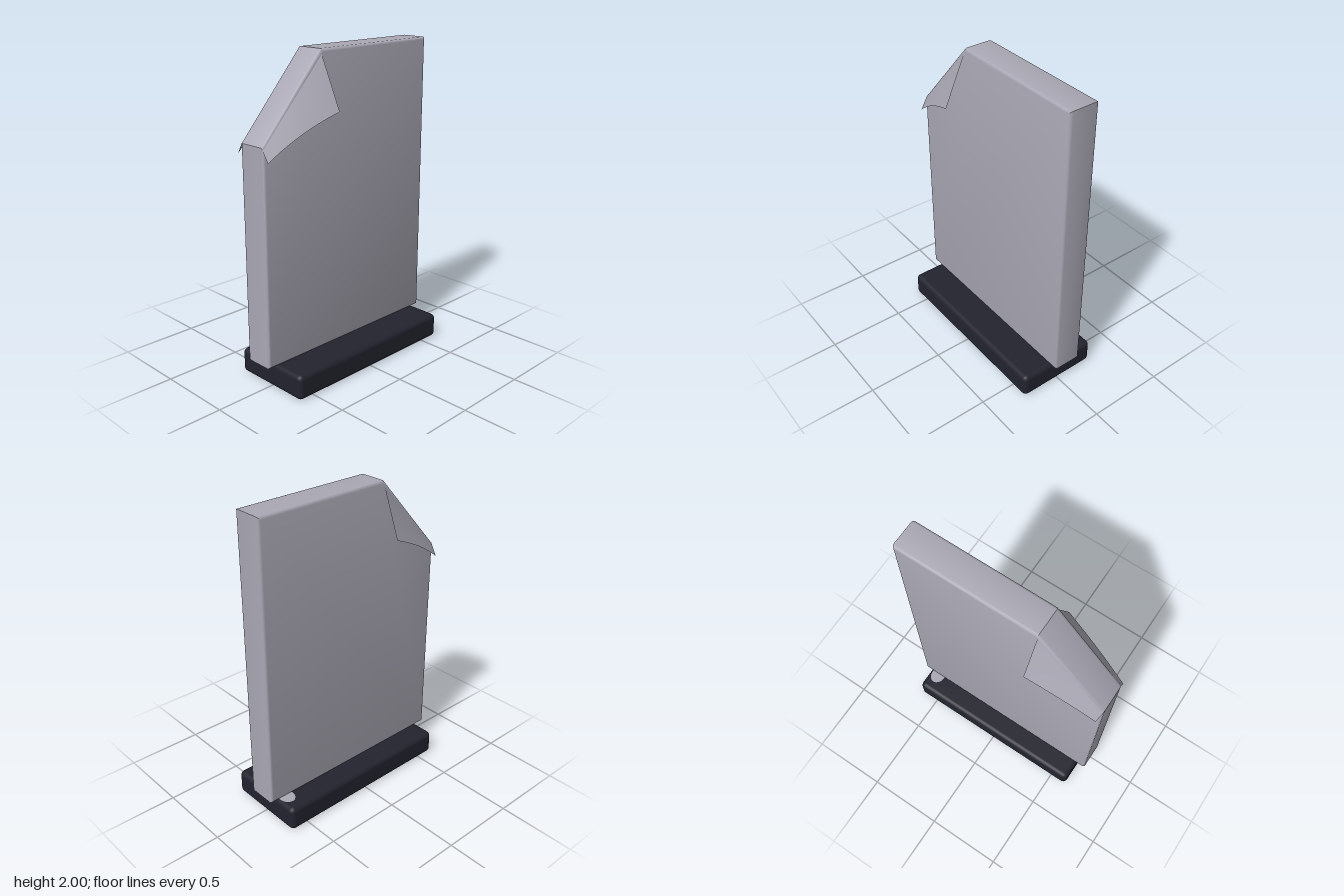
import * as THREE from 'three';
import { toCreasedNormals } from 'three/addons/utils/BufferGeometryUtils.js';
import { RoundedBoxGeometry } from 'three/addons/geometries/RoundedBoxGeometry.js';

const paper = new THREE.MeshStandardMaterial({ color: 0xaaa8b4, side: THREE.DoubleSide });
paper.name = 'pale grey';
const dark = new THREE.MeshStandardMaterial({ color: 0x23232f });
dark.name = 'dark navy';

function addMesh(parent, name, geometry, material) {
  const mesh = new THREE.Mesh(geometry, material);
  mesh.name = name;
  parent.add(mesh);
  return mesh;
}

// Ruled sheet from the fold line down to a curved free edge
function flapGeometry(fold, edge, front) {
  const nu = 12, nv = 5, pos = [], index = [];
  const foldLine = new THREE.LineCurve3(...fold);
  const edgeLine = new THREE.QuadraticBezierCurve3(...edge);
  for (let i = 0; i <= nu; i++) {
    const a = foldLine.getPoint(i / nu), b = edgeLine.getPoint(i / nu);
    for (let j = 0; j <= nv; j++) pos.push(...a.clone().lerp(b, j / nv).toArray());
  }
  for (let i = 0; i < nu; i++) for (let j = 0; j < nv; j++) {
    const a = i * (nv + 1) + j, b = a + 1, c = a + nv + 1, d = c + 1;
    if (front) index.push(a, b, c, b, d, c);
    else index.push(a, c, b, b, c, d);
  }
  const g = new THREE.BufferGeometry();
  g.setAttribute('position', new THREE.Float32BufferAttribute(pos, 3));
  g.setIndex(index);
  g.computeVertexNormals();
  return g;
}

export function createModel() {
  const model = new THREE.Group();
  model.name = 'pageTrophy';
  const v = (x, y, z) => new THREE.Vector3(x, y, z);

  // Plinth
  const base = addMesh(model, 'base', new RoundedBoxGeometry(1.245, 0.16, 0.54, 3, 0.032), dark);
  base.position.set(0.0075, 0.08, 0);

  // Upright page with one corner cut off
  const outline = new THREE.Shape([
    [-0.675, 0.157], [0.675, 0.157], [0.675, 2], [-0.23, 2], [-0.675, 1.5],
  ].map(([x, y]) => new THREE.Vector2(x, y)));
  const bevel = 0.018;
  const slab = new THREE.ExtrudeGeometry(outline, {
    depth: 0.195 - 2 * bevel, bevelEnabled: true, bevelSize: bevel,
    bevelThickness: bevel, bevelOffset: -bevel, bevelSegments: 3,
  });
  slab.translate(0, 0, -0.13 + bevel);
  addMesh(model, 'page', toCreasedNormals(slab, 0.7), paper);

  // Folded corner flaps, flaring away from both faces
  addMesh(model, 'frontFlap', flapGeometry(
    [v(-0.675, 1.498, 0.055), v(-0.23, 1.985, 0.058)],
    [v(-0.672, 1.42, 0.102), v(-0.48, 1.57, 0.145), v(-0.228, 1.66, 0.207)], true), paper);
  addMesh(model, 'backFlap', flapGeometry(
    [v(-0.675, 1.498, -0.12), v(-0.23, 1.985, -0.123)],
    [v(-0.66, 1.43, -0.175), v(-0.48, 1.57, -0.21), v(-0.228, 1.67, -0.248)], false), paper);

  // Small pale patch on the plinth behind the page
  const patch = addMesh(model, 'basePatch', new THREE.CircleGeometry(0.05, 16), paper);
  patch.rotation.x = -Math.PI / 2;
  patch.scale.y = 1.3;
  patch.position.set(0.565, 0.162, -0.135);

  return model;
}
